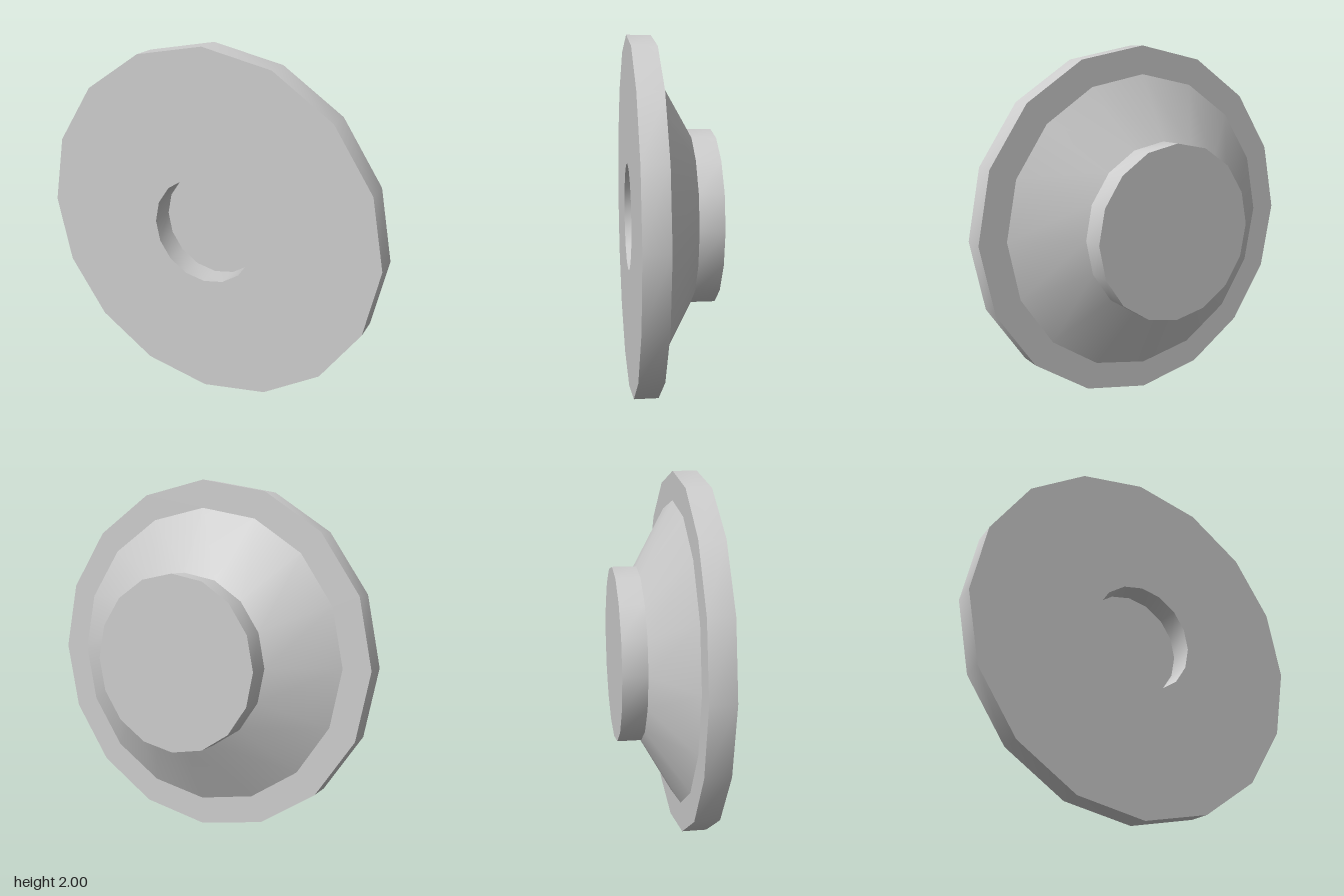
import * as THREE from 'three';
import { toCreasedNormals } from 'three/addons/utils/BufferGeometryUtils.js';

const SIDES = 16;
const CREASE = 0.5; // smooth around the sides, sharp at profile corners

export function createModel() {
  const group = new THREE.Group();
  group.name = 'flangedKnob';
  const grey = new THREE.MeshStandardMaterial({ color: 0xcccccc });
  grey.name = 'grey';

  // Turn a [radius, z] profile about the z axis
  function turned(name, profile) {
    const points = profile.map(([r, z]) => new THREE.Vector2(r, z));
    const geometry = toCreasedNormals(new THREE.LatheGeometry(points, SIDES), CREASE);
    geometry.rotateX(Math.PI / 2);
    const mesh = new THREE.Mesh(geometry, grey);
    mesh.name = name;
    mesh.position.y = 1;
    group.add(mesh);
  }

  // Wide front disc: back ledge, rim and front face around the opening
  turned('frontPlate', [[0.845, 0.1], [1, 0.1], [1, 0.233], [0.303, 0.233]]);
  // Round socket sunk into the front
  turned('socket', [[0.303, 0.233], [0.303, 0.1], [0, 0.1]]);
  // Tapered body narrowing towards the back
  turned('taperedBody', [[0.49, -0.1], [0.845, 0.1]]);
  // Short closed hub at the back
  turned('backHub', [[0, -0.233], [0.49, -0.233], [0.49, -0.1]]);

  return group;
}
